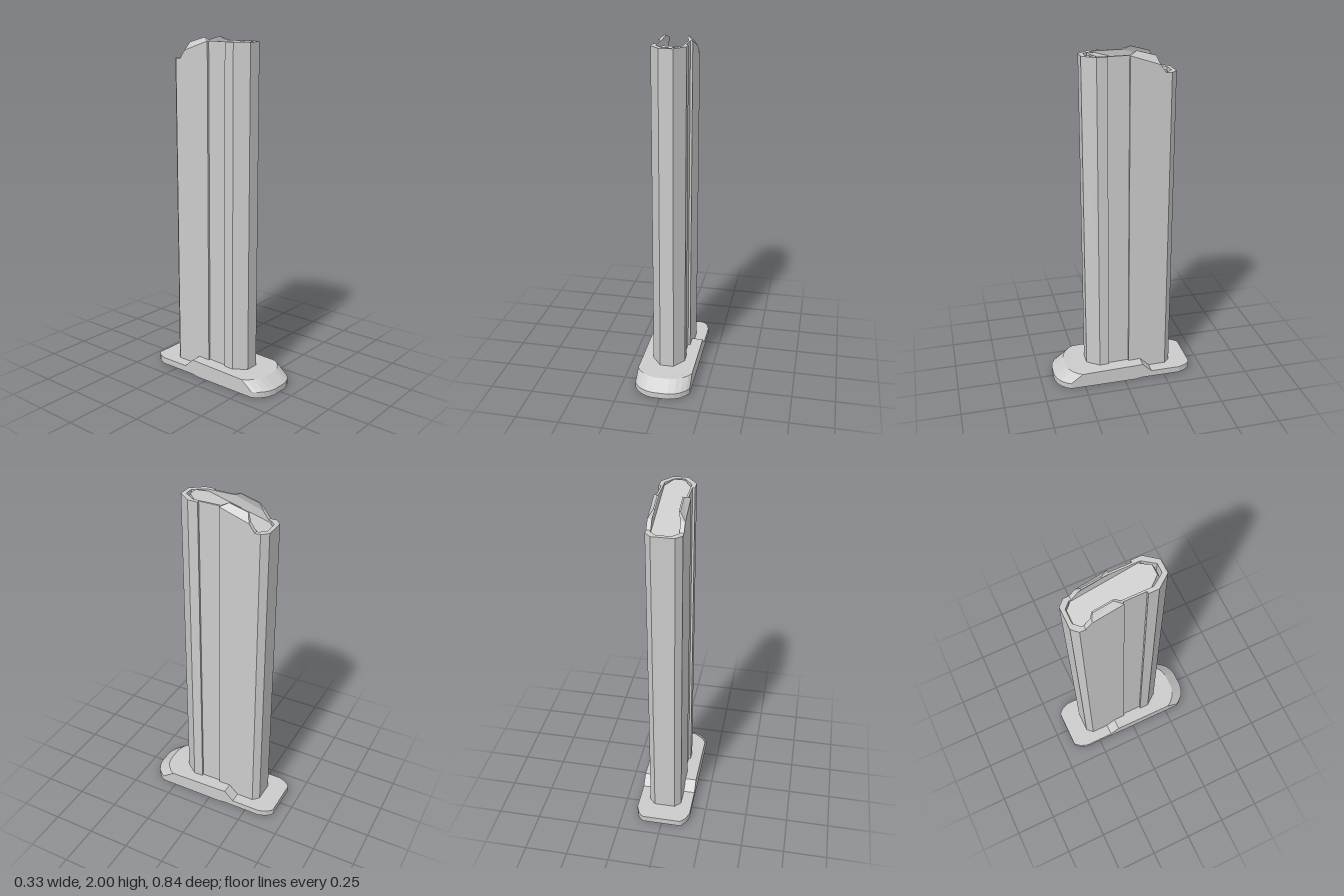
import * as THREE from 'three';

const material = new THREE.MeshStandardMaterial({ color: 0xcccccc, flatShading: true });

function addMesh(group, name, geometry) {
  const mesh = new THREE.Mesh(geometry, material);
  mesh.name = name;
  group.add(mesh);
}

// Full ring from half of a symmetric outline, running front to back on the +x side
function ring(half, point) {
  const right = half.map(point);
  const left = right.map(([x, y, z]) => [-x, y, z]).reverse();
  return [...right, ...left];
}

// Faceted skin through rings; caps are strips between mirrored points
function loft(rings, caps) {
  const positions = [];
  const tri = (a, b, c) => {
    const [p, q, r] = [a, b, c].map((v) => new THREE.Vector3(...v));
    if (q.sub(p).cross(r.sub(p)).length() > 1e-9) positions.push(...a, ...b, ...c);
  };
  const quad = (a, b, c, d) => { tri(a, b, c); tri(a, c, d); };
  const n = rings[0].length;
  for (let k = 0; k < rings.length - 1; k++) {
    const lo = rings[k], up = rings[k + 1];
    for (let i = 0; i < n; i++) {
      const j = (i + 1) % n;
      quad(lo[i], lo[j], up[j], up[i]);
    }
  }
  if (caps) {
    const bottom = rings[0], top = rings[rings.length - 1];
    for (let i = 0; i < n / 2 - 1; i++) {
      const m = n - 1 - i;
      quad(top[i], top[i + 1], top[m - 1], top[m]);
      quad(bottom[m], bottom[m - 1], bottom[i + 1], bottom[i]);
    }
  }
  const geometry = new THREE.BufferGeometry();
  geometry.setAttribute('position', new THREE.Float32BufferAttribute(positions, 3));
  geometry.computeVertexNormals();
  return geometry;
}

// Height of the tube rim along z
function rimY(z) {
  if (z >= -0.038) return 1.98;
  if (z >= -0.205) return 1.98 + (z + 0.038) * (0.055 / 0.167);
  if (z >= -0.238) return 1.925 + (z + 0.205) * (0.045 / 0.033);
  return 1.88;
}

export function createModel() {
  const group = new THREE.Group();

  // Base plate: [x, z, bottom y, top y, top z]
  const base = [
    [0.045, 0.42, 0, 0.09, 0.347],
    [0.085, 0.41, 0, 0.09, 0.337],
    [0.117, 0.393, 0, 0.09, 0.318],
    [0.147, 0.363, 0, 0.09, 0.291],
    [0.163, 0.336, 0, 0.09, 0.264],
    [0.163, -0.07, 0, 0.098, -0.07],
    [0.163, -0.11, 0.007, 0.1, -0.11],
    [0.163, -0.167, 0.007, 0.045, -0.167],
    [0.163, -0.345, 0.007, 0.045, -0.345],
    [0.147, -0.388, 0.007, 0.045, -0.388],
    [0.124, -0.416, 0.007, 0.045, -0.416],
    [0.112, -0.422, 0.007, 0.045, -0.422],
  ];
  addMesh(group, 'basePlate', loft([
    ring(base, ([x, z, b]) => [x, b, z]),
    ring(base, ([x, z]) => [x, 0.035, z]),
    ring(base, ([x, , , t, tz]) => [x, t, tz]),
  ], true));

  // Hollow tube with side recesses: [outer x, outer z, inner x, inner z]
  const tube = [
    [0.04, 0.215, 0.026, 0.19],
    [0.096, 0.143, 0.072, 0.125],
    [0.096, 0.085, 0.072, 0.085],
    [0.083, 0.085, 0.072, 0.085],
    [0.083, -0.038, 0.072, -0.038],
    [0.096, -0.038, 0.072, -0.038],
    [0.096, -0.205, 0.072, -0.205],
    [0.096, -0.238, 0.072, -0.238],
    [0.096, -0.27, 0.072, -0.25],
    [0.062, -0.305, 0.04, -0.283],
  ];
  addMesh(group, 'tube', loft([
    ring(tube, ([x, z]) => [x, 0.03, z]),
    ring(tube, ([x, z]) => [x, rimY(z), z]),
    ring(tube, ([, , x, z]) => [x, rimY(z), z]),
    ring(tube, ([, , x, z]) => [x, 1.7, z]),
  ], false));

  // Sloping insert inside the mouth, with a small front chamfer
  const insert = [
    [0.028, 0.165, 0.178],
    [0.071, 0.112, 0.124],
    [0.071, -0.245, -0.245],
    [0.04, -0.278, -0.278],
  ];
  const insertY = (z) => 1.985 + (z - 0.165) * 0.28;
  addMesh(group, 'insert', loft([
    ring(insert, ([x, , z]) => [x, 1.7, z]),
    ring(insert, ([x, z, lz]) => [x, insertY(z) - 0.035, lz]),
    ring(insert, ([x, z]) => [x, insertY(z), z]),
  ], true));

  // Lips that lean inward above the rim
  for (const side of [1, -1]) {
    const box = new THREE.BoxGeometry(1, 1, 1).toNonIndexed();
    const p = box.attributes.position;
    for (let i = 0; i < p.count; i++) {
      const outer = p.getX(i) * side > 0;
      const front = p.getZ(i) > 0;
      if (p.getY(i) > 0) {
        p.setXYZ(i, side * (outer ? 0.068 : 0.06), front ? 2 : 1.97, front ? -0.08 : -0.188);
      } else {
        const z = front ? -0.038 : -0.205;
        p.setXYZ(i, side * (outer ? 0.096 : 0.072), rimY(z), z);
      }
    }
    box.computeVertexNormals();
    addMesh(group, side > 0 ? 'leftLip' : 'rightLip', box);
  }

  return group;
}
